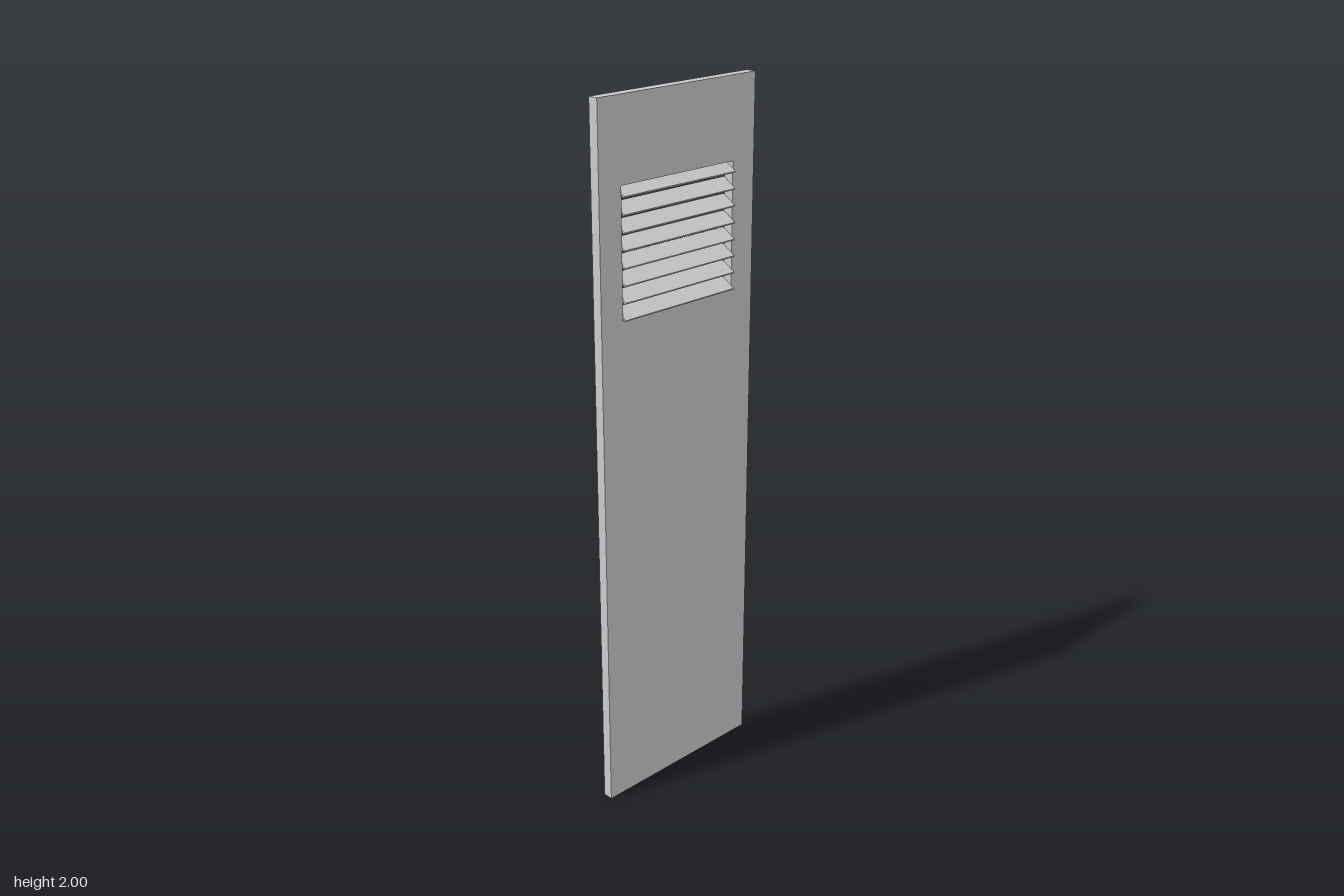
import * as THREE from 'three';

export function createModel() {
  const group = new THREE.Group();
  const material = new THREE.MeshStandardMaterial({ color: 0xcccccc });

  const vent = { left: -0.2, right: 0.193, bottom: 1.43, top: 1.778 };

  // Tall flat panel with a rectangular vent opening
  const outline = new THREE.Shape([
    new THREE.Vector2(-0.273, 0), new THREE.Vector2(0.272, 0),
    new THREE.Vector2(0.272, 2), new THREE.Vector2(-0.273, 2),
  ]);
  outline.holes.push(new THREE.Path([
    new THREE.Vector2(vent.left, vent.bottom), new THREE.Vector2(vent.left, vent.top),
    new THREE.Vector2(vent.right, vent.top), new THREE.Vector2(vent.right, vent.bottom),
  ]));
  const panel = new THREE.Mesh(
    new THREE.ExtrudeGeometry(outline, { depth: 0.029, bevelEnabled: false }), material);
  panel.name = 'panel';
  panel.position.z = -0.018;
  group.add(panel);

  // Louvre slats, sloping down towards the front
  const louvre = new THREE.Group();
  louvre.name = 'louvre';
  const count = 8, tilt = Math.PI / 6, length = 0.05, thickness = 0.005;
  const height = length * Math.sin(tilt) + thickness * Math.cos(tilt);
  const pitch = (vent.top - vent.bottom - height) / (count - 1);
  const slatGeometry = new THREE.BoxGeometry(vent.right - vent.left, thickness, length);
  for (let i = 0; i < count; i++) {
    const slat = new THREE.Mesh(slatGeometry, material);
    slat.name = `slat${i + 1}`;
    slat.position.set((vent.left + vent.right) / 2, vent.bottom + height / 2 + i * pitch, -0.001);
    slat.rotation.x = tilt;
    louvre.add(slat);
  }
  group.add(louvre);

  return group;
}
